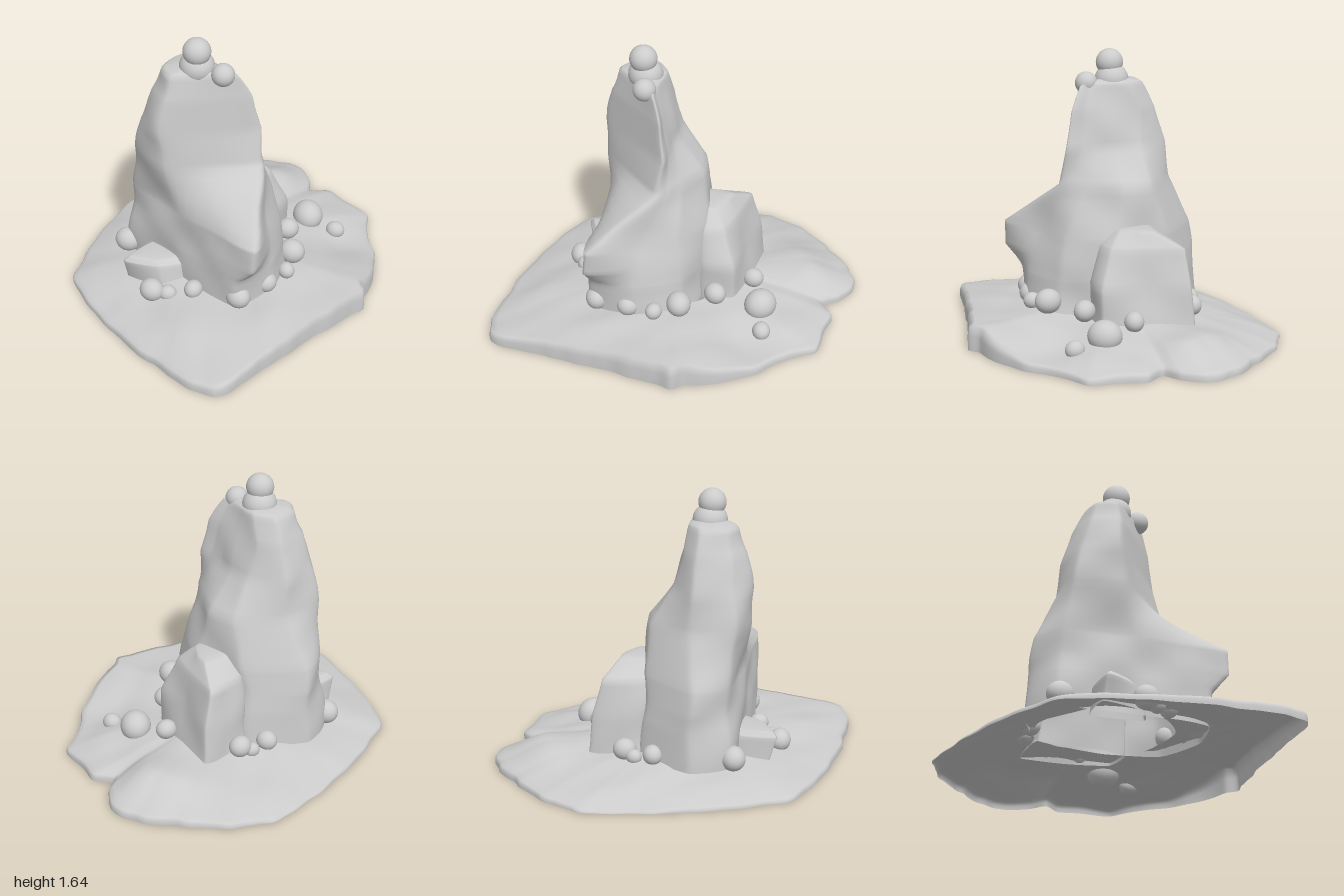
import * as THREE from 'three';

const material = new THREE.MeshStandardMaterial({ color: 0xcccccc, side: THREE.DoubleSide });

// Smooth repeatable bumpiness
const bump = (x, y, z) =>
  Math.sin(9 * x + 5 * y + 1) * Math.sin(8 * z - 6 * y) +
  0.6 * Math.sin(17 * y + 6 * x) * Math.sin(15 * z + 11 * x + 2);

// Joins rings of equal length into one smooth surface
function skin(name, rings) {
  const n = rings[0].length, index = [];
  for (let j = 0; j < rings.length - 1; j++)
    for (let i = 0; i < n; i++) {
      const k = (i + 1) % n, a = j * n + i, b = j * n + k;
      index.push(a, b, b + n, a, b + n, a + n);
    }
  const geometry = new THREE.BufferGeometry().setFromPoints(rings.flat());
  geometry.setIndex(index);
  geometry.computeVertexNormals();
  const mesh = new THREE.Mesh(geometry, material);
  mesh.name = name;
  return mesh;
}

// Hollow rock, open below, from cross-sections [height, x, z, x, z, ...] listed upwards
function rock(name, sections, roughness, crown) {
  const n = 72, steps = 6, rings = [];
  const outlines = sections.map(([y, ...p]) => {
    const points = [];
    for (let i = 0; i < p.length; i += 2) points.push(new THREE.Vector3(p[i], y, p[i + 1]));
    const curve = new THREE.CatmullRomCurve3(points, true, 'catmullrom', 0.25);
    // equal share per side keeps matching corners in line
    return Array.from({ length: n }, (_, i) => curve.getPoint(i / n));
  });
  for (let j = 0; j < outlines.length - 1; j++)
    for (let s = j ? 1 : 0; s <= steps; s++)
      rings.push(outlines[j].map((p, i) => p.clone().lerp(outlines[j + 1][i], s / steps)));
  // slightly domed top
  const last = rings[rings.length - 1];
  const middle = last.reduce((s, p) => s.add(p), new THREE.Vector3()).divideScalar(n);
  for (const [scale, lift] of [[0.9, 0.5], [0.5, 1], [0, 1]])
    rings.push(last.map((p) => {
      const q = middle.clone().lerp(p, scale);
      q.y += lift * crown;
      return q;
    }));
  for (const p of rings.flat()) {
    const d = roughness * bump(p.x, p.y, p.z);
    p.x += d;
    p.z += d * 0.7;
  }
  return skin(name, rings);
}

// Ground sheet: rim points [x, z, rim height], a steep skirt, and a hole under the spire
function ground() {
  const rim = [
    [-0.95, 0.78, 0.06], [-1, 0.5, 0.05], [-0.98, 0.1, 0.04], [-0.93, -0.15, 0.03], [-0.86, -0.4, 0.03],
    [-0.78, -0.55, 0.02], [-0.6, -0.65, 0.02], [-0.3, -0.78, 0.02], [0, -0.86, 0.01], [0.28, -0.91, 0.01],
    [0.4, -0.88, 0.02], [0.6, -0.78, 0.03], [0.8, -0.6, 0.04], [0.94, -0.45, 0.04], [0.99, -0.28, 0.04],
    [0.93, -0.15, 0.04], [0.84, -0.07, 0.04], [0.92, 0.03, 0.04], [0.9, 0.2, 0.04], [0.9, 0.36, 0.03],
    [0.76, 0.46, 0.04], [0.6, 0.65, 0.05], [0.36, 0.81, 0.11], [0.24, 0.84, 0.14], [0.17, 0.9, 0.14],
    [0, 0.87, 0.14], [-0.3, 0.84, 0.12], [-0.6, 0.82, 0.1],
  ];
  const curve = new THREE.CatmullRomCurve3(
    rim.map(([x, z, h]) => new THREE.Vector3(x, h, z)).reverse(), true, 'catmullrom', 0.4);
  const edge = Array.from({ length: 224 }, (_, i) => {
    const p = curve.getPoint(i / 224);
    // ragged edge
    const d = 1 + 0.008 * bump(2.3 * p.x, 0.4, 2.3 * p.z);
    return new THREE.Vector3(Math.min(p.x * d, 1), p.y, p.z * d);
  });
  const centre = new THREE.Vector3(-0.08, 0, -0.03);
  const rings = [edge.map((p) => new THREE.Vector3(p.x, 0, p.z)),
    edge.map((p) => new THREE.Vector3(p.x, p.y * 0.6, p.z))];
  for (let s = 0; s <= 20; s++)
    rings.push(edge.map((p) => {
      const hole = 1 / Math.hypot((p.x - centre.x) / 0.35, (p.z - centre.z) / 0.4);
      const t = THREE.MathUtils.lerp(0.99, hole, s / 20);
      const q = centre.clone().lerp(p, t);
      // low swell on the right and a shallow gully towards the front right
      const swell = 0.06 * Math.exp(-((q.x - 0.75) ** 2 + (q.z + 0.3) ** 2) / 0.05);
      const gully = 0.05 * Math.exp(-((q.x - 0.58) ** 2 + (q.z - 0.5) ** 2) / 0.03);
      q.y = p.y + (0.17 - p.y) * (1 - t * t)
        + (swell - gully + 0.01 * bump(q.x, 0.2, q.z)) * Math.min(1, 4 * (1 - t));
      q.y = Math.max(q.y, 0.008);
      return q;
    }));
  return skin('ground', rings);
}

// Slightly squashed rounded stone
function stone(name, x, y, z, r, sx = 1, sy = 1, sz = 1) {
  const geometry = new THREE.SphereGeometry(r, 24, 16);
  geometry.scale(sx, sy, sz);
  const mesh = new THREE.Mesh(geometry, material);
  mesh.position.set(x, y, z);
  mesh.rotation.y = x * 7 + z * 3;
  mesh.name = name;
  return mesh;
}

export function createModel() {
  const group = new THREE.Group();
  group.name = 'rockyOutcrop';
  group.add(ground());

  // Main spire: the first corner overhangs at the front, then climbs to the right as a crease
  group.add(rock('spire', [
    [0.12, -0.43, 0.44, -0.17, 0.5, 0.1, 0.37, 0.18, 0.05, 0.11, -0.36, -0.2, -0.54, -0.42, -0.42, -0.46, 0],
    [0.33, -0.43, 0.47, -0.17, 0.49, 0.09, 0.35, 0.18, 0.05, 0.1, -0.34, -0.2, -0.53, -0.41, -0.41, -0.46, 0],
    [0.45, -0.43, 0.58, -0.17, 0.46, 0.07, 0.33, 0.18, 0.04, 0.09, -0.32, -0.2, -0.52, -0.4, -0.4, -0.45, 0],
    [0.6, -0.42, 0.58, -0.14, 0.41, 0.05, 0.3, 0.17, 0.03, 0.09, -0.29, -0.2, -0.49, -0.4, -0.38, -0.44, 0],
    [0.88, -0.1, 0.31, -0.01, 0.27, 0.05, 0.17, 0.12, -0.02, 0.08, -0.2, -0.18, -0.37, -0.42, -0.33, -0.48, -0.05],
    [1.09, -0.05, 0.28, -0.04, 0.18, -0.04, 0.08, -0.03, -0.02, -0.05, -0.17, -0.18, -0.34, -0.41, -0.3, -0.48, -0.07],
    [1.3, -0.08, 0.24, -0.08, 0.16, -0.08, 0.08, -0.08, -0.02, -0.1, -0.17, -0.2, -0.28, -0.39, -0.23, -0.45, -0.07],
    [1.44, -0.13, 0.18, -0.12, 0.13, -0.11, 0.06, -0.11, -0.02, -0.13, -0.12, -0.2, -0.21, -0.34, -0.18, -0.4, -0.07],
  ], 0.012, 0.03));

  // Slab leaning on the right flank
  group.add(rock('sideSlab', [
    [0.12, 0.15, 0.17, 0.36, 0.16, 0.4, -0.1, 0.42, -0.36, 0.28, -0.38, 0.1, -0.35],
    [0.35, 0.14, 0.17, 0.34, 0.15, 0.36, -0.1, 0.39, -0.35, 0.27, -0.36, 0.09, -0.31],
    [0.56, 0.12, 0.11, 0.27, 0.09, 0.31, -0.1, 0.34, -0.32, 0.25, -0.33, 0.08, -0.27],
    [0.65, 0.1, 0.03, 0.19, 0.02, 0.25, -0.08, 0.26, -0.17, 0.2, -0.18, 0.08, -0.16],
  ], 0.008, 0.01));

  // Low wedge on the left flank
  group.add(rock('leftWedge', [
    [0.1, -0.43, 0.06, -0.41, -0.24, -0.62, -0.24, -0.56, 0],
    [0.24, -0.43, 0.04, -0.41, -0.23, -0.66, -0.23, -0.57, -0.04],
    [0.27, -0.43, 0, -0.41, -0.2, -0.63, -0.21, -0.56, -0.07],
  ], 0.004, 0.005));

  // Summit stones
  group.add(stone('summitNeck', -0.23, 1.46, -0.03, 0.1, 1, 0.95, 1));
  group.add(stone('summitBall', -0.24, 1.56, -0.02, 0.08));
  group.add(stone('summitSideBall', -0.19, 1.45, 0.13, 0.066));

  // Pebbles around the foot: x, y, z, radius
  [
    [0.52, 0.14, 0.18, 0.095], [0.57, 0.09, 0.36, 0.055], [0.26, 0.21, 0.24, 0.065],
    [0.43, 0.18, -0.01, 0.06], [0.09, 0.23, 0.42, 0.075], [-0.04, 0.2, 0.49, 0.05],
    [-0.2, 0.2, 0.48, 0.06], [-0.4, 0.19, 0.44, 0.07], [-0.65, 0.14, -0.01, 0.07],
    [-0.6, 0.13, 0.07, 0.05], [-0.5, 0.16, 0.18, 0.055], [-0.44, 0.18, -0.42, 0.075],
    [0.02, 0.17, -0.44, 0.06], [0.19, 0.18, -0.41, 0.065], [0.13, 0.15, -0.44, 0.045],
  ].forEach(([x, y, z, r], i) =>
    group.add(stone('pebble' + (i + 1), x, y, z, r, 1.05, 0.97, 0.95)));

  return group;
}
